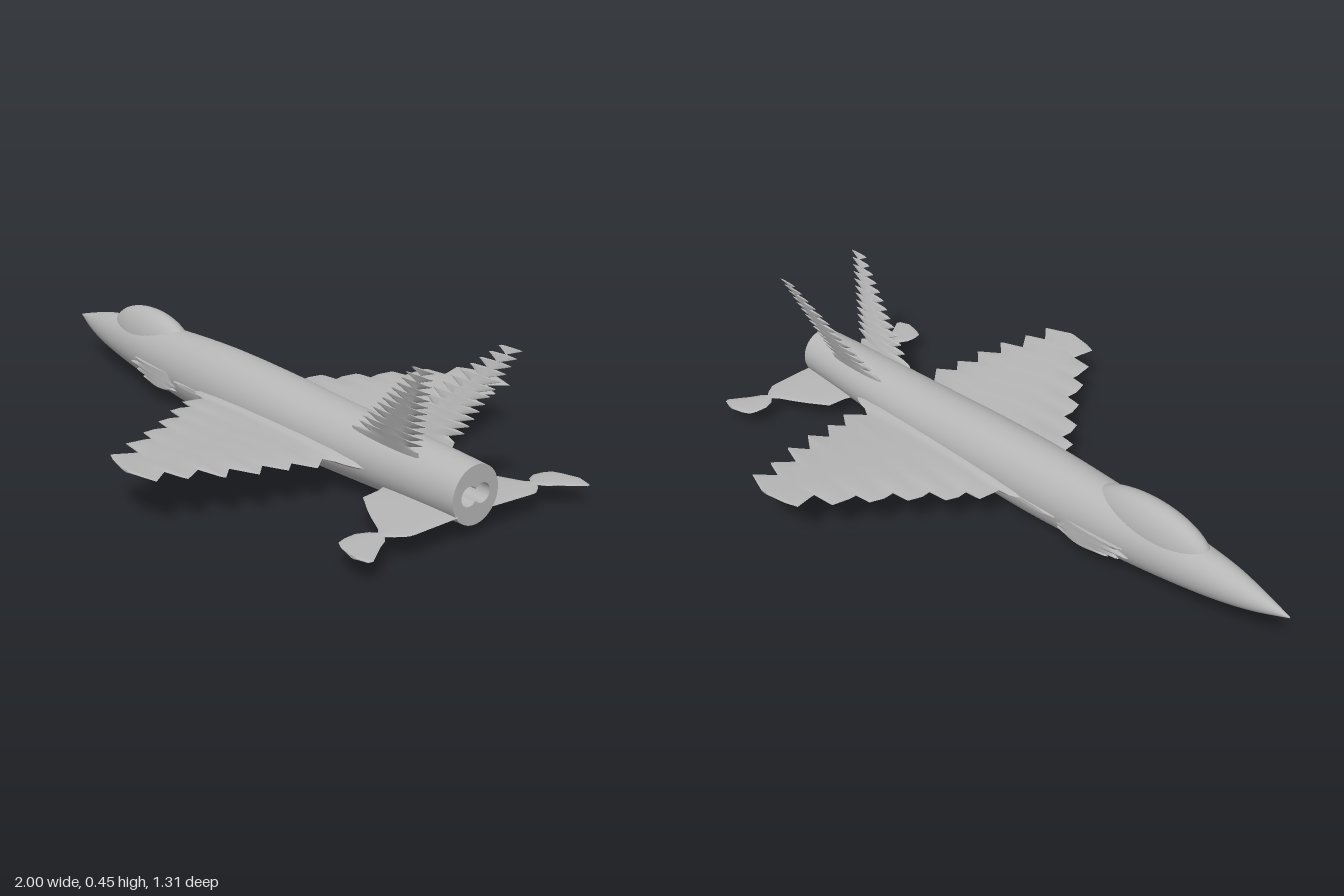
import * as THREE from 'three';
import { toCreasedNormals } from 'three/addons/utils/BufferGeometryUtils.js';

// Skin closed rings of [x, y, z] points, cap both ends if asked, and face the result outward.
function loft(rings, caps = true) {
  const n = rings[0].length, p = rings.flat(), idx = [];
  for (let i = 0; i < rings.length - 1; i++) {
    for (let j = 0; j < n; j++) {
      const a = i * n + j, b = i * n + (j + 1) % n;
      idx.push(a, b, a + n, b, b + n, a + n);
    }
  }
  if (caps) {
    const e = (rings.length - 1) * n;
    for (let j = 1; j < n - 1; j++) idx.push(0, j + 1, j, e, e + j, e + j + 1);
  }
  let volume = 0;
  const v = p.map(q => new THREE.Vector3(...q));
  for (let i = 0; i < idx.length; i += 3) {
    volume += v[idx[i]].dot(v[idx[i + 1]].clone().cross(v[idx[i + 2]]));
  }
  if (volume < 0) idx.reverse();
  const g = new THREE.BufferGeometry();
  g.setAttribute('position', new THREE.Float32BufferAttribute(p.flat(), 3));
  g.setIndex(idx);
  g.computeVertexNormals();
  return g;
}

// Thin lens-section surface; sections are [span, leading x, trailing x],
// place(span) gives [y, z, half thickness], across picks the thickness axis.
function foil(sections, place, side, across) {
  const N = 8;
  const rings = sections.map(([s, lead, trail]) => {
    const [y, z, t] = place(s);
    return Array.from({ length: 2 * N }, (_, k) => {
      const a = k / N * Math.PI;
      const x = (lead + trail) / 2 - Math.cos(a) * (trail - lead) / 2;
      const h = t * Math.sin(a);
      return across === 'y' ? [x, y + h, side * z] : [x, y, side * (z + h)];
    });
  });
  return toCreasedNormals(loft(rings), 0.6);
}

export function createModel() {
  const model = new THREE.Group();
  model.name = 'jetAircraft';
  const grey = new THREE.MeshStandardMaterial({ color: 0xb6b6b6, side: THREE.DoubleSide });
  grey.name = 'airframeGrey';
  const add = (name, geometry) => {
    const mesh = new THREE.Mesh(geometry, grey);
    mesh.name = name;
    model.add(mesh);
    return mesh;
  };

  // Fuselage: x, bottom, top, half width
  const profile = [
    [-1, 0.133, 0.137, 0.002], [-0.9, 0.098, 0.164, 0.03], [-0.8, 0.073, 0.187, 0.05],
    [-0.65, 0.048, 0.204, 0.068], [-0.45, 0.025, 0.218, 0.085], [-0.25, 0.007, 0.228, 0.097],
    [-0.08, 0.001, 0.231, 0.104], [0.15, 0.005, 0.225, 0.106], [0.4, 0.014, 0.213, 0.103],
    [0.65, 0.025, 0.206, 0.095], [0.82, 0.031, 0.202, 0.086], [0.955, 0.036, 0.197, 0.078],
  ];
  const bottoms = new THREE.CatmullRomCurve3(profile.map(q => new THREE.Vector3(q[0], q[1], q[3])));
  const tops = new THREE.CatmullRomCurve3(profile.map(q => new THREE.Vector3(q[0], q[2], q[3])));
  const hull = [];
  for (let i = 0; i <= 66; i++) {
    const b = bottoms.getPoint(i / 66), t = tops.getPoint(i / 66);
    hull.push(Array.from({ length: 48 }, (_, k) => {
      const a = k / 24 * Math.PI;
      return [b.x, (b.y + t.y) / 2 + Math.sin(a) * (t.y - b.y) / 2, Math.cos(a) * b.z];
    }));
  }
  add('fuselage', loft(hull, false));

  // Canopy
  const canopy = add('canopy', new THREE.SphereGeometry(1, 40, 28));
  canopy.scale.set(0.215, 0.098, 0.062);
  canopy.position.set(-0.525, 0.164, 0);

  // Tail plate with a double exhaust opening
  const plate = new THREE.Shape();
  plate.absellipse(0, 0, 0.078, 0.0805, 0, Math.PI * 2);
  const cut = Math.acos(0.022 / 0.027);
  const opening = new THREE.Path();
  opening.absarc(0.022, 0, 0.027, -(Math.PI - cut), Math.PI - cut, false);
  opening.absarc(-0.022, 0, 0.027, cut, Math.PI * 2 - cut, false);
  plate.holes.push(opening);
  const nozzle = add('exhaustNozzle',
    new THREE.ExtrudeGeometry(plate, { depth: 0.1, bevelEnabled: false, curveSegments: 24 }));
  nozzle.rotation.y = Math.PI / 2;
  nozzle.position.set(0.856, 0.1165, 0);
  const plug = add('exhaustBack', new THREE.CircleGeometry(0.06, 24));
  plug.rotation.y = Math.PI / 2;
  plug.position.set(0.858, 0.1165, 0);

  // Wing outline with stepped leading and notched trailing edges
  const wing = [
    [0.08, -0.16, 0.67], [0.105, -0.12, 0.635], [0.12, -0.09, 0.6], [0.125, -0.05, 0.575],
    [0.145, -0.05, 0.54], [0.2, -0.047, 0.59], [0.205, 0.005, 0.585], [0.24, 0, 0.53],
    [0.28, 0.012, 0.57], [0.287, 0.075, 0.56], [0.32, 0.07, 0.51], [0.365, 0.082, 0.56],
    [0.372, 0.14, 0.55], [0.41, 0.135, 0.49], [0.455, 0.147, 0.54], [0.462, 0.2, 0.53],
    [0.485, 0.198, 0.46], [0.545, 0.205, 0.505], [0.552, 0.28, 0.49], [0.57, 0.277, 0.435],
    [0.625, 0.262, 0.485], [0.64, 0.3, 0.44], [0.653, 0.365, 0.4],
  ];
  const wingPlace = z => [
    0.106 + (z - 0.1) * 0.076, z,
    0.003 + 0.011 * (0.653 - z) / 0.55 + 0.014 * Math.max(0, (0.125 - z) / 0.045),
  ];

  // Horizontal tail outline with a narrow waist and a rounded end
  const stabilizer = [
    [0.06, 0.7, 0.96], [0.1, 0.715, 0.96], [0.16, 0.722, 0.96], [0.2, 0.785, 0.96],
    [0.22, 0.82, 0.958], [0.25, 0.88, 0.938], [0.265, 0.898, 0.922], [0.28, 0.88, 0.94],
    [0.31, 0.866, 0.957], [0.345, 0.868, 0.982], [0.37, 0.876, 1], [0.382, 0.9, 0.997],
    [0.391, 0.94, 0.965],
  ];
  const stabilizerPlace = z => [0.071 - (z - 0.08) * 0.034, z, 0.004];

  // Fin outline: solid foot below, fine saw teeth above
  const fin = [[0.165, 0.54, 0.81], [0.195, 0.565, 0.815], [0.2, 0.59, 0.8]];
  const teeth = 12;
  for (let i = 0; i < teeth; i++) {
    const y = 0.204 + i * 0.021, f = i / (teeth - 1);
    const lead = 0.595 + 0.27 * f, trail = 0.805 + 0.105 * f;
    fin.push([y, lead + 0.035, trail - 0.015], [y + 0.017, lead, trail + 0.03],
      [y + 0.0195, lead + 0.01, trail + 0.034]);
  }
  const finPlace = y => [y, 0.058 + (y - 0.18) * 0.33, 0.0025 + 0.006 * (0.46 - y) / 0.28];

  // Ragged side intake fairing and the thin strake running back to the wing
  const intake = [
    [0.058, -0.4, -0.29], [0.066, -0.45, -0.25], [0.072, -0.43, -0.265], [0.08, -0.49, -0.235],
    [0.09, -0.47, -0.25], [0.1, -0.525, -0.24], [0.108, -0.48, -0.25], [0.118, -0.5, -0.26],
  ];
  const intakePlace = y => [y, 0.085, 0.014];
  const strake = [[0.08, -0.26, -0.04], [0.1, -0.25, -0.06], [0.106, -0.22, -0.08]];
  const strakePlace = z => [0.102, z, 0.006];

  for (const [label, side] of [['left', -1], ['right', 1]].map(([l, s]) => [l, -s * -1])) {
    add(label + 'Wing', foil(wing, wingPlace, side, 'y'));
    add(label + 'Stabilizer', foil(stabilizer, stabilizerPlace, side, 'y'));
    add(label + 'Fin', foil(fin, finPlace, side, 'z'));
    add(label + 'Intake', foil(intake, intakePlace, side, 'z'));
    add(label + 'Strake', foil(strake, strakePlace, side, 'y'));
  }
  return model;
}
